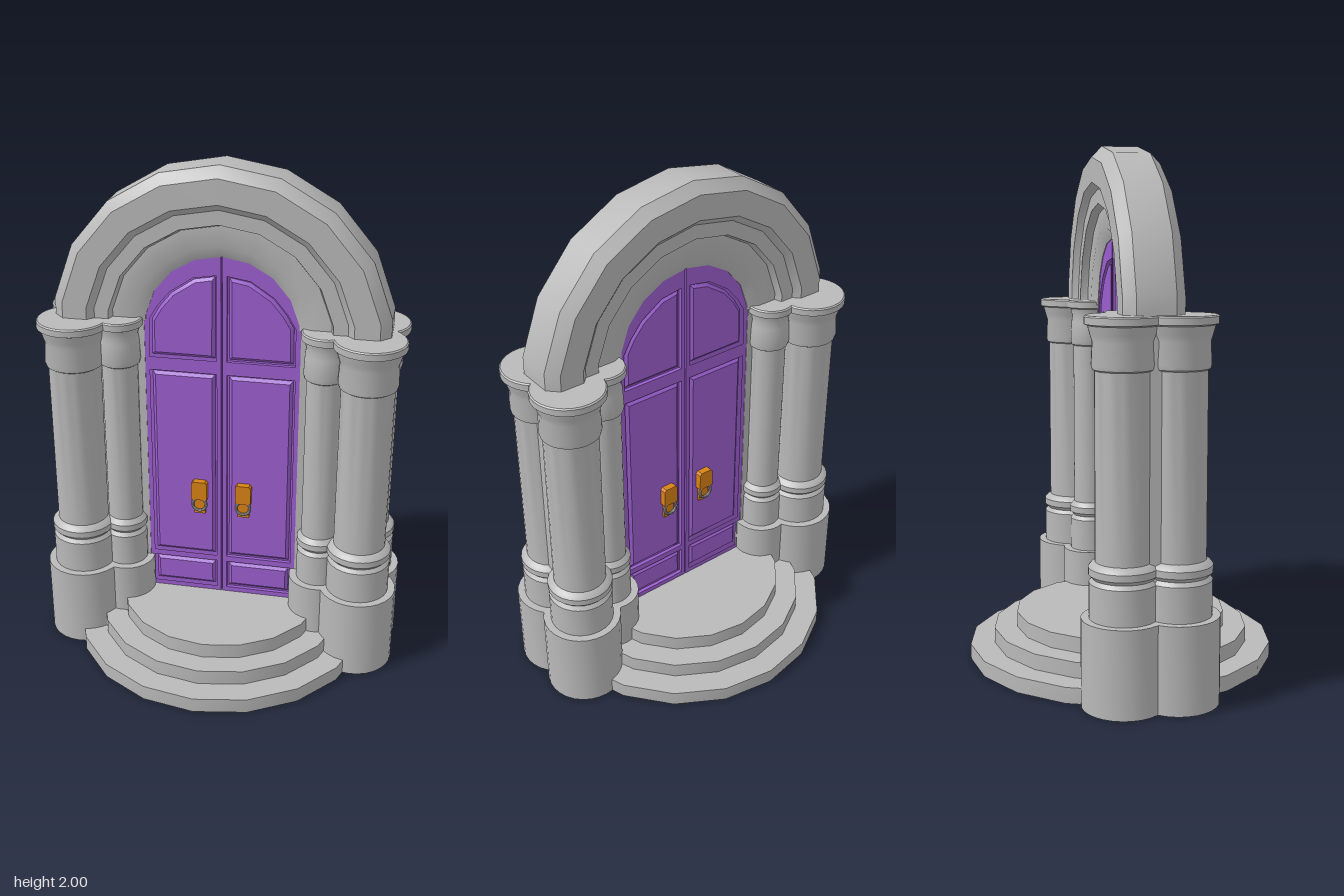
import * as THREE from 'three';
import { toCreasedNormals } from 'three/addons/utils/BufferGeometryUtils.js';

const stone = new THREE.MeshStandardMaterial({ color: 0xb9b9b9 });
const purple = new THREE.MeshStandardMaterial({ color: 0x9c5fd0 });
const brass = new THREE.MeshStandardMaterial({ color: 0xd98216 });
const steel = new THREE.MeshStandardMaterial({ color: 0xb4b0a8 });
stone.name = 'stone grey';
purple.name = 'door purple';
brass.name = 'brass orange';
steel.name = 'ring steel';

const ARCH_Y = 1.345; // centre height of the arch curves
const vec = (pts) => pts.map(([x, y]) => new THREE.Vector2(x, y));

function add(parent, name, geometry, material, x = 0, y = 0, z = 0) {
  const mesh = new THREE.Mesh(toCreasedNormals(geometry, 0.5), material);
  mesh.name = name;
  mesh.position.set(x, y, z);
  parent.add(mesh);
  return mesh;
}

// Extrusion centred on z = 0
function slab(points, depth, holes = [], bevel = null) {
  const shape = new THREE.Shape(vec(points));
  holes.forEach((h) => shape.holes.push(new THREE.Path(vec(h))));
  const geo = new THREE.ExtrudeGeometry(shape, { depth, bevelEnabled: !!bevel, ...bevel });
  return geo.translate(0, 0, -depth / 2);
}

// Column turned from one profile; arguments are the radii of its parts
function columnGeometry(plinth, drum, shaft, cap) {
  const neck = shaft + 0.008;
  return new THREE.LatheGeometry(vec([
    [0, 0], [plinth, 0], [plinth, 0.325], [drum, 0.325], [drum, 0.455],
    [drum - 0.012, 0.47], [drum + 0.002, 0.485], [drum + 0.002, 0.51], [drum - 0.008, 0.522],
    [shaft, 0.53], [shaft, 1.2], [neck, 1.205], [neck + 0.004, 1.22], [neck, 1.3],
    [cap - 0.02, 1.325], [cap - 0.012, 1.355], [cap, 1.36], [cap, 1.385], [cap - 0.005, 1.39], [0, 1.39],
  ]), 28);
}

// Stepped archivolt: a ring section swept in 20 degree facets and cut off level
function archGeometry() {
  const half = [[0.65, 0.07], [0.61, 0.11], [0.515, 0.11], [0.49, 0.085], [0.435, 0.085],
    [0.425, 0.055], [0.345, 0.055], [0.3, 0.033]];
  const back = half.map(([r, z]) => [r, -z]).reverse();
  const geo = new THREE.LatheGeometry(vec([...back.slice(-1), ...half, ...back]), 10,
    THREE.MathUtils.degToRad(-100), THREE.MathUtils.degToRad(200));
  geo.rotateX(-Math.PI / 2).translate(0, ARCH_Y, 0);
  const p = geo.attributes.position;
  for (let i = 0; i < p.count; i++) p.setY(i, Math.max(p.getY(i), 1.375));
  return geo;
}

// Outline of one door leaf, from the middle seam at x0 to the arched side
function leafOutline(x0) {
  const pts = [[x0, 0.18], [0.31, 0.18], [0.31, 1.375]];
  for (let a = 80; a >= 20; a -= 20) {
    const t = THREE.MathUtils.degToRad(a);
    pts.push([0.308 * Math.sin(t), ARCH_Y + 0.308 * Math.cos(t)]);
  }
  pts.push([x0, ARCH_Y + 0.307]);
  return pts;
}

const panels = [
  [[0.02, 0.2], [0.285, 0.2], [0.285, 0.325], [0.02, 0.325]],
  [[0.02, 0.35], [0.285, 0.35], [0.285, 1.17], [0.02, 1.17]],
  [[0.02, 1.225], [0.285, 1.225], [0.282, 1.38], [0.25, 1.435], [0.2, 1.495], [0.11, 1.555], [0.02, 1.57]],
];

function doorLeaf(side) {
  const leaf = new THREE.Group();
  leaf.name = side > 0 ? 'leftDoorLeaf' : 'rightDoorLeaf';
  const flip = (pts) => pts.map(([x, y]) => [x * side, y]);

  add(leaf, 'doorCore', slab(flip(leafOutline(0)), 0.03), purple);
  add(leaf, 'doorFrame', slab(flip(leafOutline(0.003)), 0.06, panels.map(flip)), purple);
  panels.forEach((p) => add(leaf, 'raisedPanel', slab(flip(p), 0.032, [], {
    bevelSize: 0.012, bevelThickness: 0.011, bevelOffset: -0.02, bevelSegments: 1,
  }), purple));

  // Knocker on both faces
  for (const f of [1, -1]) {
    const x = 0.09 * side;
    add(leaf, 'knockerBackplate', new THREE.BoxGeometry(0.046, 0.15, 0.012), brass, x, 0.625, f * 0.032);
    add(leaf, 'knockerMount', slab([
      [-0.032, 0.62], [0.032, 0.62], [0.032, 0.69], [0.024, 0.7], [-0.024, 0.7], [-0.032, 0.69],
    ], 0.03), brass, x, 0, f * 0.04);
    add(leaf, 'knockerRing', new THREE.TorusGeometry(0.028, 0.006, 8, 20), steel, x, 0.597, f * 0.048);
  }
  return leaf;
}

export function createModel() {
  const model = new THREE.Group();
  model.name = 'archedDoorway';

  // Round steps
  [0.6, 0.505, 0.415].forEach((r, i) => {
    const h = 0.06 * (i + 1);
    add(model, 'step' + (i + 1), new THREE.CylinderGeometry(r, r, h, 18), stone, 0, h / 2, 0);
  });

  // Jambs with clustered columns on both faces
  const large = columnGeometry(0.153, 0.124, 0.102, 0.138);
  const small = columnGeometry(0.115, 0.085, 0.07, 0.094);
  for (const sx of [1, -1]) {
    add(model, 'jamb', new THREE.BoxGeometry(0.33, 1.385, 0.064), stone, sx * 0.468, 0.6925, 0);
    for (const sz of [1, -1]) {
      add(model, 'outerColumn', large, stone, sx * 0.567, 0, sz * 0.098);
      add(model, 'innerColumn', small, stone, sx * 0.4, 0, sz * 0.05);
    }
  }

  add(model, 'arch', archGeometry(), stone);
  model.add(doorLeaf(1), doorLeaf(-1));
  return model;
}
